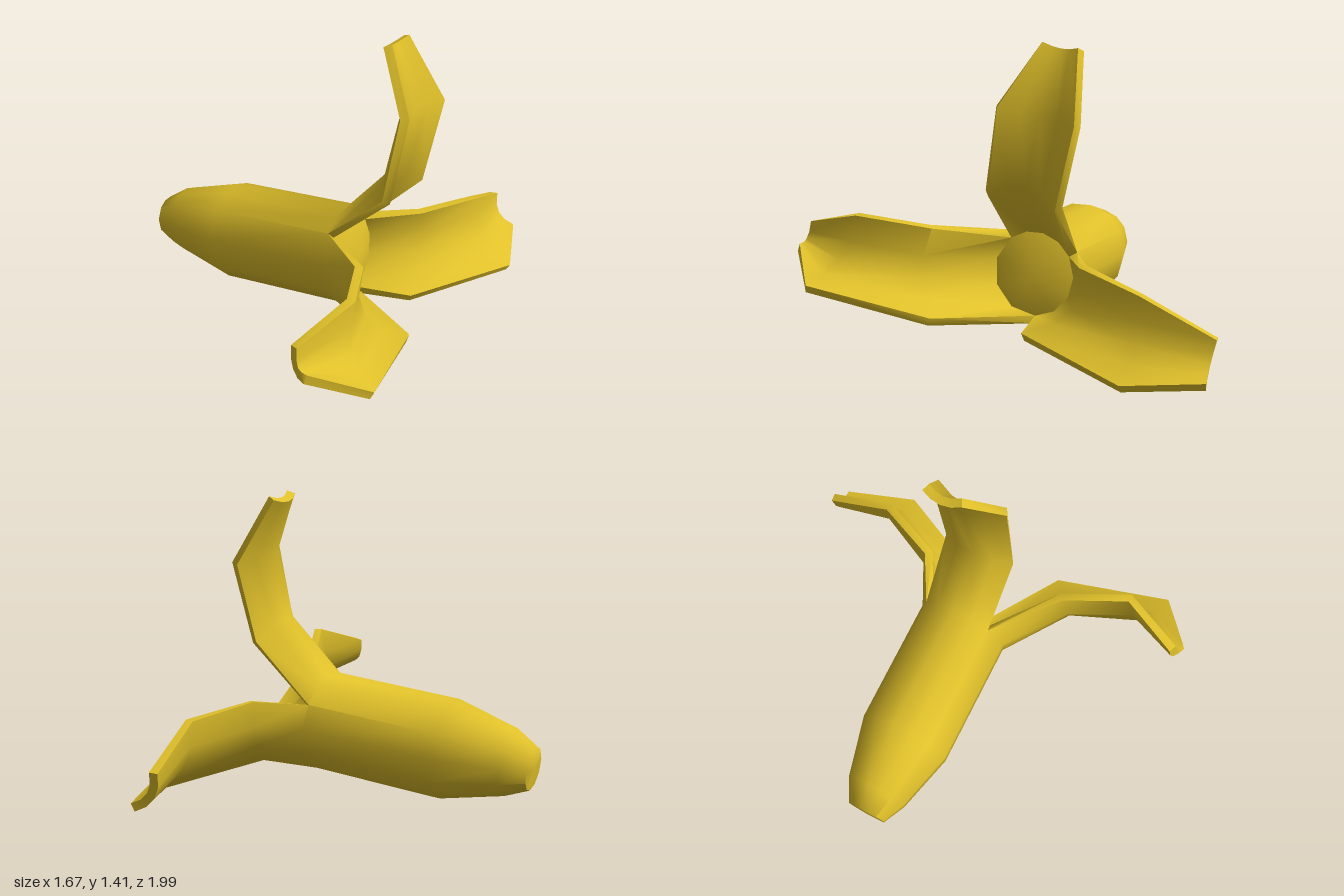
import * as THREE from 'three';
import { toCreasedNormals } from 'three/addons/utils/BufferGeometryUtils.js';

const V = (x, y, z) => new THREE.Vector3(x, y, z);
const SEG = 4; // facets across each flap
const HALF = 0.02; // half the skin thickness

// Body rings: x, centre y, centre z, radius
const RINGS = [[-0.83, 0.19, 0, 0.1], [-0.72, 0.21, -0.005, 0.158], [-0.42, 0.24, -0.012, 0.236], [0.21, 0.315, -0.028, 0.236]];
const HEART = V(0.28, 0.31, -0.03);

// Each flap: start and end angle on the body, then sections of first edge, middle, second edge
const FLAPS = {
  upperFlap: { from: 52, to: 150, sections: [
    [V(0.47, 0.75, 0.09), V(0.41, 0.8, -0.08), V(0.47, 0.71, -0.25)],
    [V(0.51, 1.15, 0.02), V(0.45, 1.11, -0.16), V(0.51, 1.09, -0.35)],
    [V(0.34, 1.41, -0.12), V(0.32, 1.38, -0.21), V(0.34, 1.39, -0.3)]] },
  backFlap: { from: 150, to: 265, sections: [
    [V(0.43, 0.45, -0.35), V(0.44, 0.24, -0.32), V(0.52, 0.12, -0.1)],
    [V(0.57, 0.41, -0.66), V(0.62, 0.2, -0.66), V(0.79, 0.07, -0.65)],
    [V(0.54, 0.25, -0.99), V(0.57, 0.14, -0.97), V(0.66, 0.08, -0.98)]] },
  frontFlap: { from: 265, to: 412, sections: [
    [V(0.7, 0.2, 0.27), V(0.53, 0.33, 0.4), V(0.49, 0.57, 0.36)],
    [V(0.82, 0.32, 0.82), V(0.65, 0.41, 0.74), V(0.62, 0.63, 0.66)],
    [V(0.6, 0.43, 0.99), V(0.54, 0.45, 0.97), V(0.52, 0.54, 0.95)]] },
};

function ringPoint([x, cy, cz, r], degrees) {
  const a = THREE.MathUtils.degToRad(degrees);
  const h = r * Math.sin(a);
  return V(x - 0.13 * h, cy + h, cz + r * Math.cos(a)); // rings lean slightly
}

// Parabola through the three points of a section
function across([a, m, b], t) {
  return V(0, 0, 0).addScaledVector(a, (1 - t) * (1 - 2 * t))
    .addScaledVector(m, 4 * t * (1 - t)).addScaledVector(b, t * (2 * t - 1));
}

function createModel() {
  const tris = [];
  const tri = (...p) => p.forEach((v) => tris.push(v.x, v.y, v.z));
  const quad = (a, b, c, d) => { tri(a, b, c); tri(a, c, d); };
  const sheet = (rows, flip) => {
    for (let i = 0; i < rows.length - 1; i++) for (let j = 0; j < rows[i].length - 1; j++) {
      const q = [rows[i][j], rows[i + 1][j], rows[i + 1][j + 1], rows[i][j + 1]];
      quad(...(flip ? q.reverse() : q));
    }
  };

  for (const { from, to, sections } of Object.values(FLAPS)) {
    const steps = Array.from({ length: SEG + 1 }, (_, j) => j / SEG);
    const body = RINGS.map((r) => steps.map((t) => ringPoint(r, from + (to - from) * t)));
    const root = body[body.length - 1];
    const mid = [root, ...sections.map((s) => steps.map((t) => across(s, t)))];

    // Thicken the flap along its surface normals
    const last = mid.length - 1;
    const shifted = (d) => mid.map((row, i) => row.map((p, j) => {
      if (i === 0) return d > 0 ? p : p.clone().lerp(HEART, 0.17);
      const u = mid[Math.min(i + 1, last)][j].clone().sub(mid[i - 1][j]);
      const v = row[Math.min(j + 1, SEG)].clone().sub(row[Math.max(j - 1, 0)]);
      return p.clone().addScaledVector(u.cross(v).normalize(), d);
    }));
    const outer = shifted(HALF), inner = shifted(-HALF);

    // Body skin, flap outside and flap inside
    sheet(body, false);
    sheet(outer, false);
    sheet(inner, true);

    // Cut edges along both sides and the tip
    for (let i = 0; i < last; i++) {
      quad(outer[i][0], inner[i][0], inner[i + 1][0], outer[i + 1][0]);
      quad(outer[i][SEG], outer[i + 1][SEG], inner[i + 1][SEG], inner[i][SEG]);
    }
    for (let j = 0; j < SEG; j++) {
      quad(outer[last][j], inner[last][j], inner[last][j + 1], outer[last][j + 1]);
      // Floor between the flaps and closed end of the body
      tri(HEART, inner[0][j], inner[0][j + 1]);
      tri(V(-0.835, 0.19, 0), body[0][j], body[0][j + 1]);
    }
  }

  const geometry = new THREE.BufferGeometry();
  geometry.setAttribute('position', new THREE.Float32BufferAttribute(tris, 3));
  const peel = new THREE.Mesh(toCreasedNormals(geometry, 1.05),
    new THREE.MeshStandardMaterial({ color: 0xe0c02a, side: THREE.DoubleSide }));
  peel.name = 'fruitPeel';

  const group = new THREE.Group();
  group.name = 'peeledFruitSkin';
  group.add(peel);
  return group;
}

export { createModel };
